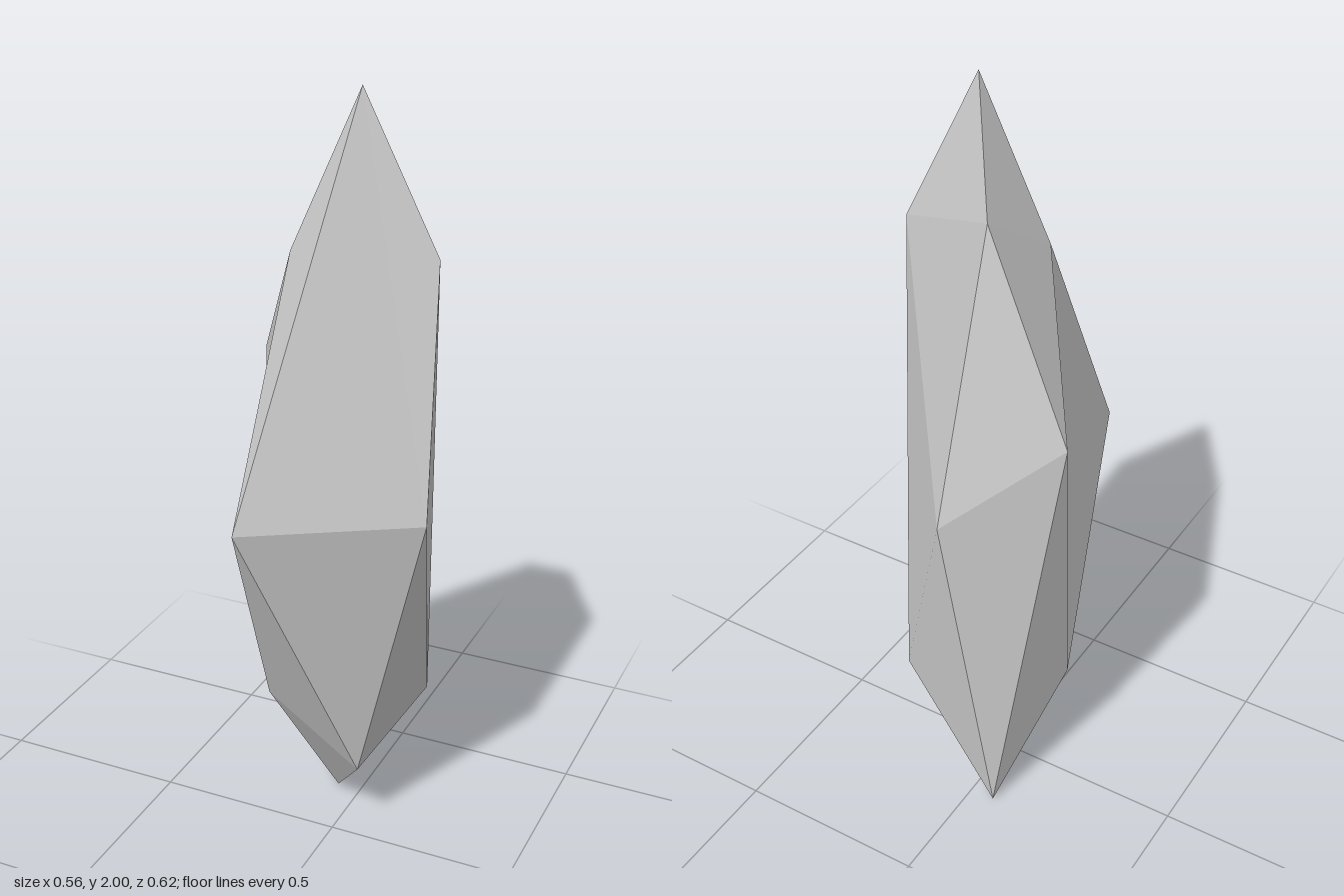
import * as THREE from 'three';

// Corners of a stretched, irregular twenty-sided crystal
const corners = {
  A: [0.075, 2, 0.005],
  B: [-0.065, 1.765, -0.19],
  C: [0.255, 1.62, -0.025],
  D: [-0.09, 1.615, 0.035],
  E: [-0.28, 1.27, -0.21],
  F: [-0.115, 1, 0.31],
  G: [0.277, 1, 0.073],
  H: [0.004, 1, -0.312],
  I: [-0.182, 0.385, 0],
  J: [0.19, 0.39, -0.19],
  K: [0.075, 0.215, 0.005],
  L: [-0.067, 0.003, -0.19],
};

// Each face is a triangle of corner names
const faces = 'ADF DIF DEI ABD BED BEH ABC BCH CHJ CJG ACG AGF FIK FKG GKJ JKL LKI JLH EIL ELH'.split(' ');

export function createModel() {
  const centre = new THREE.Vector3(0, 1, 0);
  const points = [];
  for (const face of faces) {
    const tri = [...face].map((name) => new THREE.Vector3(...corners[name]));
    // Turn every face outward
    const normal = tri[1].clone().sub(tri[0]).cross(tri[2].clone().sub(tri[0]));
    if (normal.dot(tri[0].clone().sub(centre)) < 0) tri.reverse();
    points.push(...tri);
  }
  const geometry = new THREE.BufferGeometry().setFromPoints(points);
  geometry.computeVertexNormals();

  const crystal = new THREE.Mesh(
    geometry,
    new THREE.MeshStandardMaterial({ color: 0xcccccc, flatShading: true }),
  );
  crystal.name = 'crystal';

  const model = new THREE.Group();
  model.name = 'crystalShard';
  model.add(crystal);
  return model;
}
